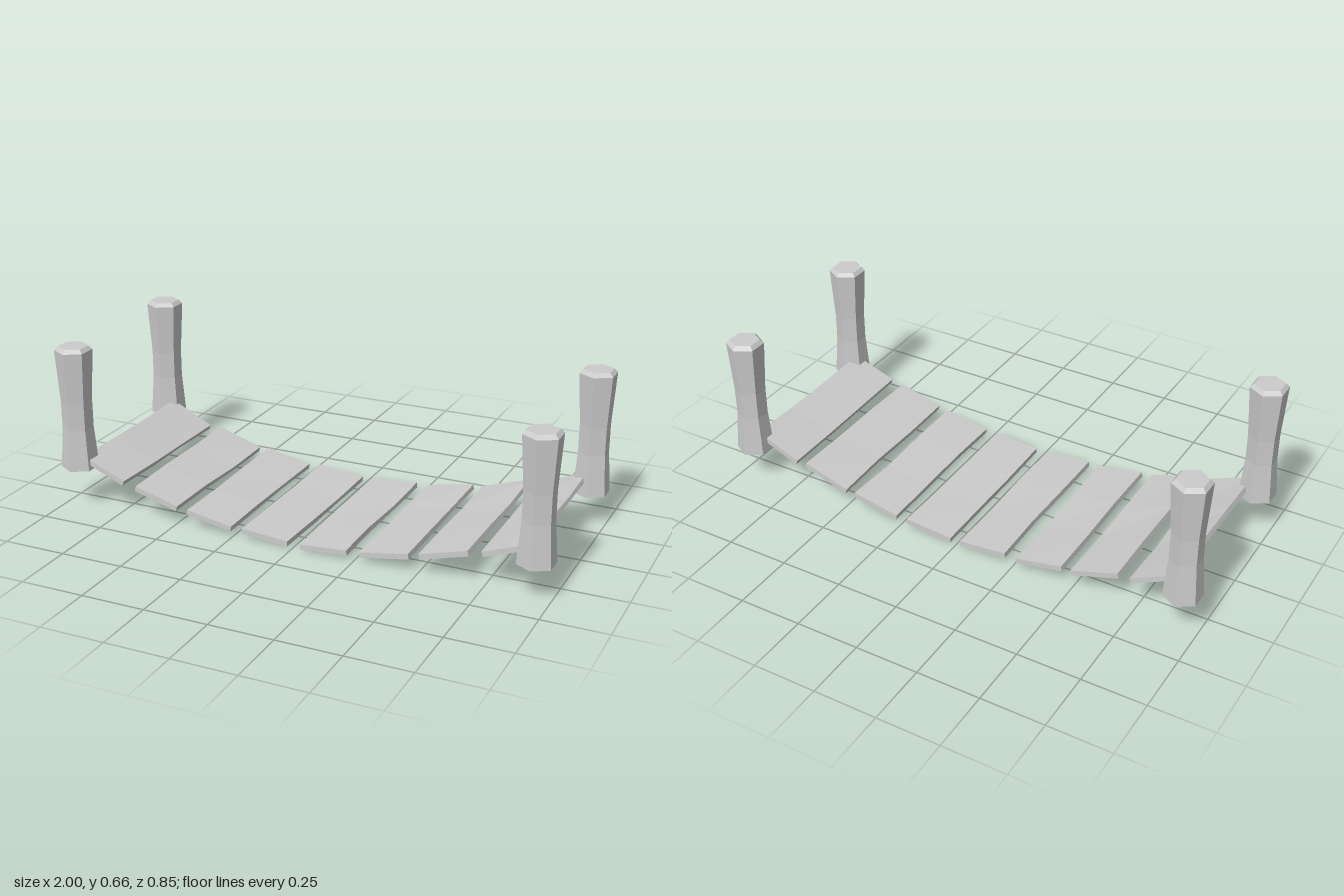
import * as THREE from 'three';

const wood = new THREE.MeshStandardMaterial({ color: 0xcccccc, flatShading: true });
const openWood = new THREE.MeshStandardMaterial({ color: 0xcccccc, flatShading: true, side: THREE.DoubleSide });

// Six-sided post with a narrow waist, a bevelled top and an open foot
function makePost(name, x, y, z) {
  const profile = [[0.073, 0], [0.06, 0.165], [0.06, 0.275], [0.073, 0.48], [0.058, 0.495], [0, 0.495]]
    .map(([r, h]) => new THREE.Vector2(r, h));
  const post = new THREE.Mesh(new THREE.LatheGeometry(profile, 6), openWood);
  post.name = name;
  post.position.set(x, y, z);
  return post;
}

// Plank spanning from (x0, y0) to (x1, y1) along its top, with worn long edges
function makePlank(index, [x0, y0, x1, y1]) {
  const thickness = 0.021, back = -0.333, front = 0.355;
  const length = Math.hypot(x1 - x0, y1 - y0);
  const geo = new THREE.BoxGeometry(length, thickness, front - back, 1, 1, 3);
  const pos = geo.attributes.position;
  for (let i = 0; i < pos.count; i++) {
    const side = Math.sign(pos.getX(i));
    const top = pos.getY(i) > 0;
    const t = pos.getZ(i) / (front - back) + 0.5; // 0 at the back, 1 at the front
    const row = Math.round(t * 3);
    // long edges waver in and out
    const wear = row === 0 ? 0 : 0.006 * (0.5 + 0.5 * Math.sin(index * 2.3 + row * 1.9 + side));
    pos.setX(i, pos.getX(i) - side * wear);
    // a slight twist, and a chipped top edge towards the back
    let y = pos.getY(i) + side * (index - 3.5) * 0.0016 * (1 - t);
    if (top && side > 0 && row === 1) y -= 0.006;
    pos.setY(i, y);
  }
  const plank = new THREE.Mesh(geo, wood);
  plank.name = `plank${index + 1}`;
  const angle = Math.atan2(y1 - y0, x1 - x0);
  plank.rotation.z = angle;
  plank.position.set(
    (x0 + x1) / 2 + Math.sin(angle) * thickness / 2,
    (y0 + y1) / 2 - Math.cos(angle) * thickness / 2,
    (back + front) / 2);
  return plank;
}

export function createModel() {
  const bridge = new THREE.Group();
  bridge.name = 'plankBridge';

  // Posts at the four corners, the right-hand pair a little higher
  bridge.add(
    makePost('postRightBack', -0.937, 0.165, -0.35),
    makePost('postRightFront', -0.937, 0.165, 0.332),
    makePost('postLeftBack', 0.937, 0.135, -0.333),
    makePost('postLeftFront', 0.937, 0.135, 0.349));

  // Sagging walkway: top edge of each plank
  const walkway = new THREE.Group();
  walkway.name = 'walkway';
  const spans = [
    [-0.905, 0.219, -0.722, 0.142], [-0.677, 0.134, -0.487, 0.08],
    [-0.45, 0.076, -0.257, 0.042], [-0.212, 0.044, -0.015, 0.027],
    [0.025, 0.025, 0.222, 0.04], [0.268, 0.042, 0.463, 0.074],
    [0.5, 0.082, 0.692, 0.134], [0.732, 0.139, 0.92, 0.205],
  ];
  spans.forEach((span, i) => walkway.add(makePlank(i, span)));
  bridge.add(walkway);
  return bridge;
}
